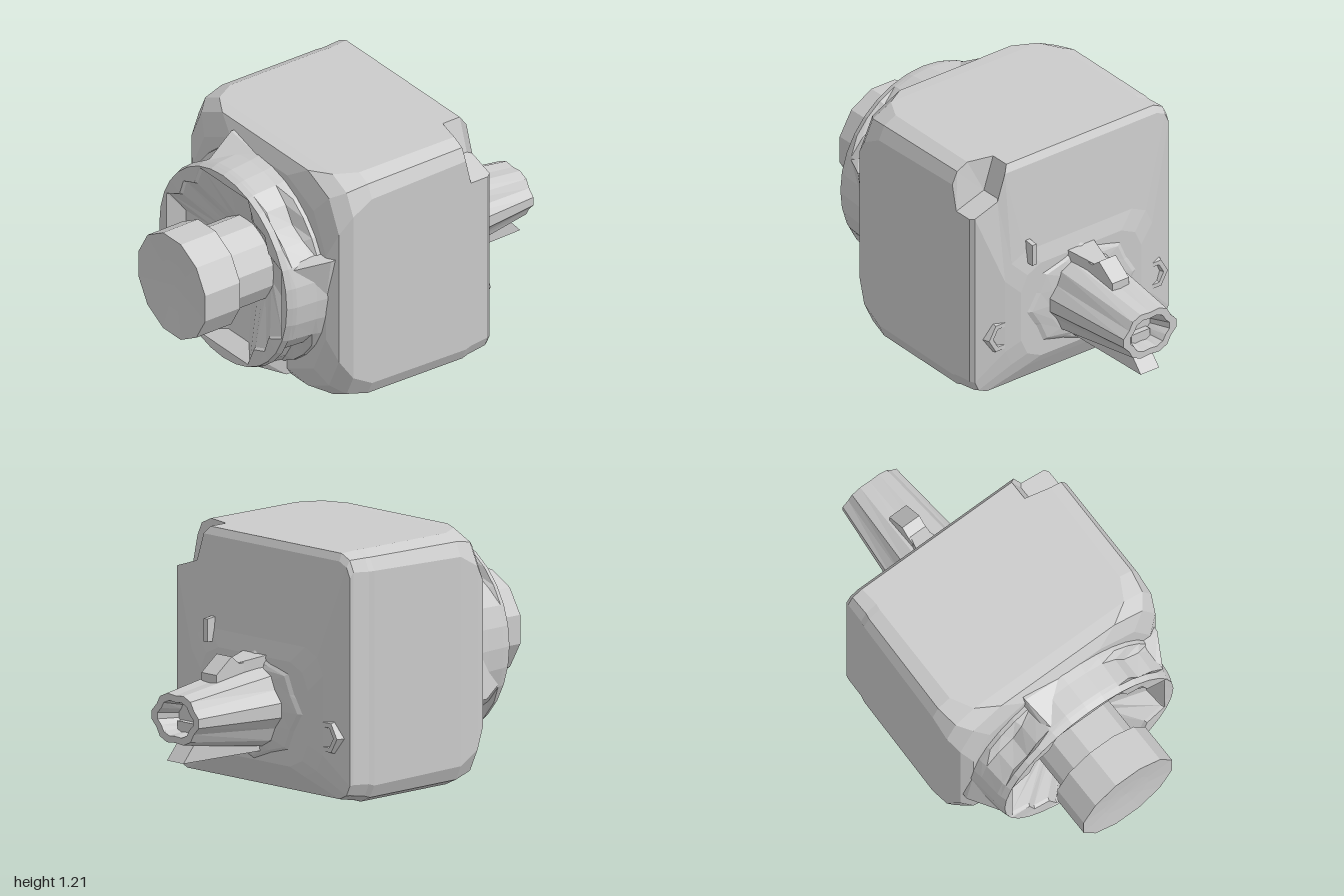
import * as THREE from 'three';

const material = new THREE.MeshStandardMaterial({ color: 0xcccccc, flatShading: true });

function add(group, name, geometry, x = 0, y = 0, z = 0) {
  const mesh = new THREE.Mesh(geometry, material);
  mesh.name = name;
  mesh.position.set(x, y, z);
  group.add(mesh);
  return mesh;
}

// Skin over loops of points (counter-clockwise seen from +z), capped at either end
function loft(loops, capBack = true) {
  const n = loops[0].length;
  const pos = [];
  const tri = (a, b, c) => pos.push(...a, ...b, ...c);
  for (let i = 0; i < loops.length - 1; i++) {
    for (let j = 0; j < n; j++) {
      const k = (j + 1) % n;
      tri(loops[i][j], loops[i][k], loops[i + 1][k]);
      tri(loops[i][j], loops[i + 1][k], loops[i + 1][j]);
    }
  }
  const cap = (loop, flip) => {
    const c = [0, 1, 2].map((a) => loop.reduce((s, p) => s + p[a], 0) / n);
    for (let j = 0; j < n; j++) {
      const p = loop[j], q = loop[(j + 1) % n];
      if (flip) tri(c, q, p); else tri(c, p, q);
    }
  };
  if (capBack) cap(loops[0], true);
  cap(loops[loops.length - 1], false);
  const geometry = new THREE.BufferGeometry();
  geometry.setAttribute('position', new THREE.Float32BufferAttribute(pos, 3));
  geometry.computeVertexNormals();
  return geometry;
}

// Square outline with three points per corner; notch > 0 cuts a step in the upper left corner
function squareLoop(z, x0, x1, y0, y1, cut, notch = 0) {
  const corners = [[x1, y1, -1, -1], [x0, y1, 1, -1], [x0, y0, 1, 1], [x1, y0, -1, 1]];
  return corners.flatMap(([x, y, sx, sy], i) => {
    const stepped = i === 0 && notch > 0;
    const c = stepped ? notch : cut;
    const m = stepped ? notch * 0.75 : cut * 0.32;
    const alongX = [x + sx * c, y, z];
    const alongY = [x, y + sy * c, z];
    const mid = [x + sx * m, y + sy * m, z];
    return i % 2 ? [alongX, mid, alongY] : [alongY, mid, alongX];
  });
}

// Loop around z whose radius and depth may follow the angle
function roundLoop(n, radius, depth) {
  return Array.from({ length: n }, (_, j) => {
    const a = (j / n) * Math.PI * 2;
    const r = radius(a);
    return [r * Math.cos(a), r * Math.sin(a), depth(a)];
  });
}

export function createModel() {
  const model = new THREE.Group();

  // Housing: chamfered block with a stepped corner at the back
  add(model, 'housing', loft([
    squareLoop(-0.485, -0.36, 0.36, 0.16, 0.66, 0.12),
    squareLoop(-0.465, -0.44, 0.44, 0.12, 0.74, 0.12),
    squareLoop(-0.42, -0.575, 0.585, 0.035, 1.17, 0.07, 0.18),
    squareLoop(-0.4, -0.58, 0.6, 0.03, 1.205, 0.08, 0.22),
    squareLoop(-0.3, -0.58, 0.6, 0.01, 1.205, 0.09, 0.22),
    squareLoop(-0.27, -0.585, 0.6, 0, 1.205, 0.09),
    squareLoop(0.28, -0.6, 0.6, 0.005, 1.205, 0.1),
    squareLoop(0.39, -0.6, 0.6, 0.01, 1.205, 0.16),
    squareLoop(0.455, -0.57, 0.575, 0.03, 1.2, 0.24),
    squareLoop(0.49, -0.52, 0.52, 0.08, 1.13, 0.3),
  ]));

  // Collar: ring with pocketed diagonals outside and a cross-shaped dish inside
  const diagonal = (a) => Math.pow(Math.abs(Math.sin(2 * a)), 10);
  const fromArm = (a) => Math.abs(a - Math.round(a / (Math.PI / 2)) * (Math.PI / 2));
  // flat-sided mouth with a small step beside each diagonal
  const mouth = (a) => {
    const off = fromArm(a);
    if (off < 0.42) return 0.447 / Math.cos(off);
    return off < 0.7 ? 0.415 : 0.445;
  };
  const inArm = (a) => fromArm(a) < 0.3;
  const n = 32;
  add(model, 'collar', loft([
    roundLoop(n, () => 0.535, () => 0.45),
    roundLoop(n, () => 0.525, () => 0.51),
    roundLoop(n, (a) => 0.52 - 0.06 * diagonal(a), () => 0.54),
    roundLoop(n, (a) => 0.51 - 0.05 * diagonal(a), () => 0.65),
    roundLoop(n, () => 0.505, () => 0.67),
    roundLoop(n, () => 0.495, () => 0.7),
    roundLoop(n, mouth, () => 0.695),
    // steep lip in the four arms, none between them
    roundLoop(n, (a) => mouth(a) * (inArm(a) ? 0.91 : 0.98), (a) => (inArm(a) ? 0.61 : 0.68)),
    roundLoop(n, () => 0.205, () => 0.56),
  ], false), 0, 0.605, 0);

  // Wedge gussets bracing the collar against the housing, each leaning to one side
  const wedge = loft([
    [[0.46, -0.24, 0.42], [0.6, 0, 0.42], [0.44, 0.08, 0.42]],
    [[0.48, -0.2, 0.49], [0.6, 0, 0.49], [0.44, 0.07, 0.49]],
    [[0.47, -0.1, 0.66], [0.5, 0, 0.66], [0.46, 0.04, 0.66]],
  ]);
  for (let i = 0; i < 4; i++) {
    add(model, 'gusset', wedge, 0, 0.605, 0).rotation.z = Math.PI * (0.117 + i / 2);
  }

  // Front knob on its neck, with a slightly hollowed face
  const turned = (points) => new THREE.LatheGeometry(
    points.map(([r, z]) => new THREE.Vector2(r, z)), 12)
    .rotateX(Math.PI / 2).rotateZ(Math.PI / 12);
  add(model, 'neck', turned([[0, 0.5], [0.212, 0.5], [0.212, 0.81], [0, 0.81]]), 0, 0.605, 0);
  add(model, 'knob', turned([[0, 0.795], [0.268, 0.795], [0.268, 1], [0.13, 0.99], [0, 0.985]]), 0, 0.605, 0);

  // Flared seat around the rear shaft, ridged toward its corners
  const ring = (z, rx, ry, ridge) => roundLoop(16, () => 1, () => z)
    .map(([x, y], j) => {
      const k = j % 2 ? 1 - ridge : 1;
      return [x * rx * k, y * ry * k + 0.42, z];
    });
  add(model, 'shaftSeat', loft([
    ring(-0.505, 0.2, 0.2, 0),
    ring(-0.495, 0.3, 0.24, 0.1),
    ring(-0.43, 0.46, 0.33, 0.12),
  ]));

  // Tapered fluted shaft with a hollow end
  const flute = (z, rx, ry, y) => Array.from({ length: 18 }, (_, j) => {
    const a = (j / 18) * Math.PI * 2 + Math.PI / 2;
    const k = j % 3 === 0 ? 0.9 : 1;
    return [Math.cos(a) * rx * k, Math.sin(a) * ry * k + y, z];
  });
  add(model, 'shaft', loft([
    flute(-0.9, 0.08, 0.07, 0.42),
    flute(-1, 0.12, 0.09, 0.425),
    flute(-1, 0.16, 0.125, 0.425),
    flute(-0.48, 0.208, 0.205, 0.425),
  ]));

  // Side outlines in (z, y) extruded across x: key, rib and rear tab
  const blade = (name, points, width, x = 0) => {
    const shape = new THREE.Shape(points.map(([z, y]) => new THREE.Vector2(-z, y)));
    const geometry = new THREE.ExtrudeGeometry(shape, { depth: width, bevelEnabled: false });
    geometry.translate(0, 0, -width / 2).rotateY(Math.PI / 2);
    add(model, name, geometry, x);
  };
  blade('key', [[-0.6, 0.5], [-0.78, 0.5], [-0.78, 0.61], [-0.68, 0.685], [-0.63, 0.645], [-0.6, 0.645]], 0.1);
  blade('lowerRib', [[-0.48, 0.4], [-0.48, 0.21], [-1, 0.22], [-0.93, 0.3], [-0.93, 0.4]], 0.11);
  blade('rearTab', [[-0.42, 0.68], [-0.51, 0.68], [-0.51, 0.79], [-0.42, 0.8]], 0.025, 0.3);

  // Foot of the key, widening toward the housing
  const foot = (z, half, top) => [[half, 0.5, z], [half * 0.9, top, z], [-half * 0.9, top, z], [-half, 0.5, z]];
  add(model, 'keyFoot', loft([foot(-0.64, 0.04, 0.645), foot(-0.47, 0.09, 0.67)]));

  // Hollow screw bosses on either side of the shaft
  const hex = (z, r) => roundLoop(6, () => r, () => z);
  const boss = loft([hex(-0.42, 0.035), hex(-0.465, 0.055), hex(-0.465, 0.08), hex(-0.38, 0.11)]);
  for (const side of [-1, 1]) add(model, 'screwBoss', boss, side * 0.455, 0.33, 0);

  return model;
}
